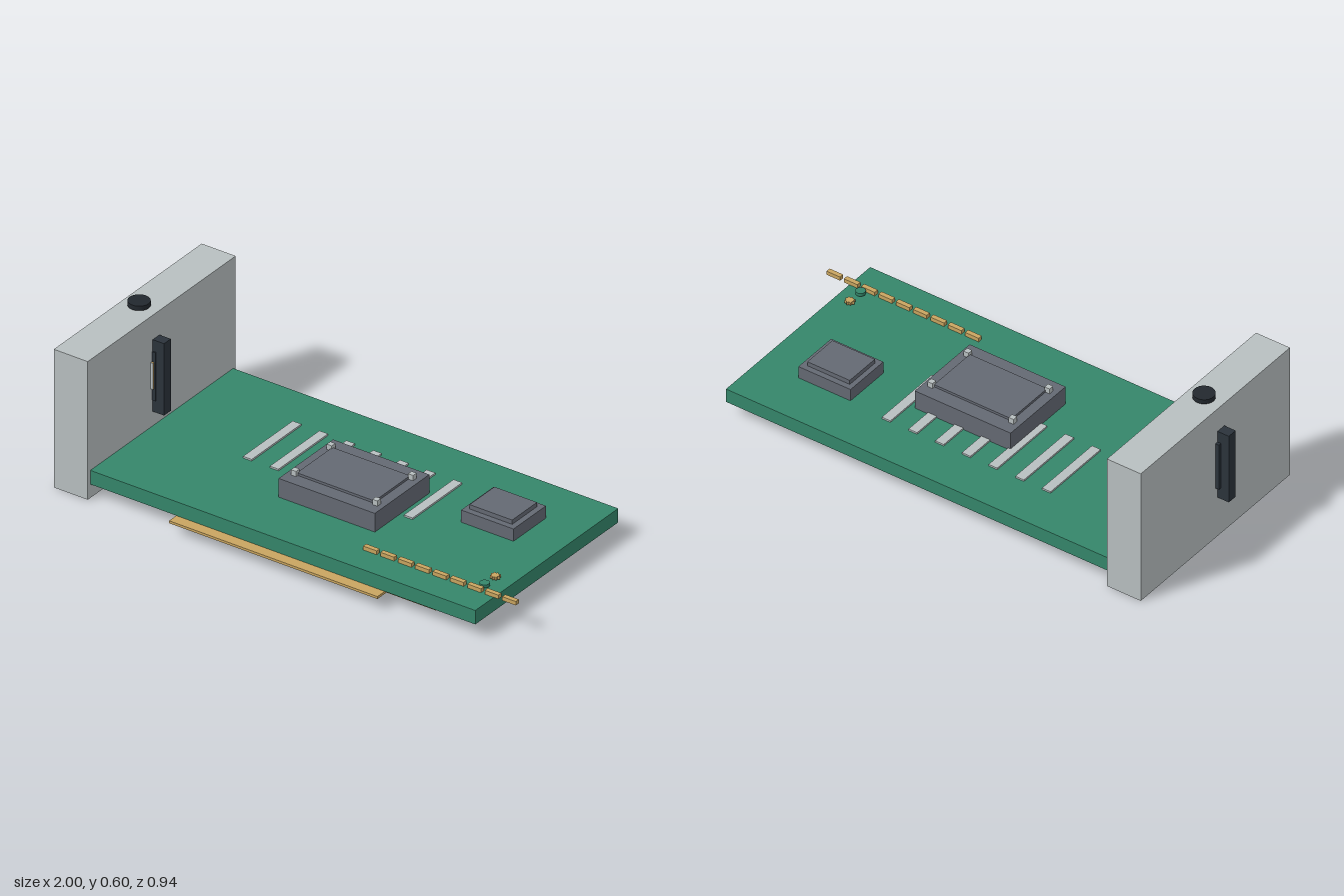
import * as THREE from 'three';

const mat = (name, color) => {
  const m = new THREE.MeshStandardMaterial({ color });
  m.name = name;
  return m;
};

export function createModel() {
  const root = new THREE.Group();
  root.name = 'expansionCard';
  const green = mat('boardGreen', 0x35866a);
  const silver = mat('bracketSilver', 0xb8bfc0);
  const grey = mat('chipGrey', 0x646973);
  const dark = mat('connectorDark', 0x2b333b);
  const black = mat('capBlack', 0x22282e);
  const gold = mat('contactGold', 0xc9a560);

  const add = (name, geo, m, x, y, z, parent = root) => {
    const mesh = new THREE.Mesh(geo, m);
    mesh.name = name;
    mesh.position.set(x, y, z);
    parent.add(mesh);
    return mesh;
  };
  // Box given by its lower and upper limits on each axis
  const box = (name, m, [x0, x1], [y0, y1], [z0, z1], parent = root) =>
    add(name, new THREE.BoxGeometry(x1 - x0, y1 - y0, z1 - z0), m,
      (x0 + x1) / 2, (y0 + y1) / 2, (z0 + z1) / 2, parent);
  const group = (name) => {
    const g = new THREE.Group();
    g.name = name;
    root.add(g);
    return g;
  };

  // Circuit board and end bracket
  box('board', green, [-0.8, 0.9], [0.057, 0.115], [-0.457, 0.427]);
  box('bracket', silver, [-0.95, -0.8], [0, 0.577], [-0.472, 0.443]);

  // Screw cap above the bracket
  add('screwCap', new THREE.CylinderGeometry(0.042, 0.042, 0.019, 24), black, -0.875, 0.594, 0.02);

  // Port passing through the bracket
  const port = group('port');
  box('portBar', dark, [-1, -0.75], [0.175, 0.475], [-0.001, 0.041], port);
  box('portShell', dark, [-0.965, -0.785], [0.225, 0.427], [-0.014, 0.046], port);
  box('portContact', gold, [-0.96, -0.79], [0.275, 0.385], [0.046, 0.052], port);
  box('portContactFace', silver, [-0.96, -0.79], [0.275, 0.385], [0.052, 0.054], port);

  // Main processor with raised lid and corner posts
  const cpu = group('mainChip');
  box('mainChipBody', grey, [-0.14, 0.285], [0.115, 0.193], [-0.15, 0.187], cpu);
  box('mainChipLid', grey, [-0.1, 0.243], [0.193, 0.203], [-0.09, 0.13], cpu);
  for (const x of [-0.107, 0.252])
    for (const z of [-0.091, 0.13])
      add('cornerPost', new THREE.BoxGeometry(0.022, 0.022, 0.022), silver, x, 0.204, z, cpu);

  // Secondary chip
  const chip = group('smallChip');
  box('smallChipBody', grey, [0.497, 0.728], [0.115, 0.166], [-0.251, -0.05], chip);
  box('smallChipLid', grey, [0.517, 0.705], [0.166, 0.184], [-0.228, -0.074], chip);

  // Row of silver strips, partly under the main chip
  const strips = group('strips');
  for (let i = 0; i < 7; i++) {
    const x = -0.385 + i * 0.1184;
    box('strip', silver, [x - 0.019, x + 0.019], [0.115, 0.122], [-0.27, 0.037], strips);
  }

  // Dashed gold row running off the board's end
  const pins = group('pinRow');
  for (let i = 0; i < 9; i++) {
    const x = 0.355 + i * 0.0768;
    box('pin', gold, [x - 0.03, x + 0.03], [0.117, 0.133], [0.297, 0.316], pins);
  }

  // Star-shaped contact and small green disc
  const star = new THREE.Shape();
  for (let i = 0; i < 16; i++) {
    const r = i % 2 ? 0.014 : 0.02, a = (i * Math.PI) / 8;
    star[i ? 'lineTo' : 'moveTo'](r * Math.cos(a), r * Math.sin(a));
  }
  const starGeo = new THREE.ExtrudeGeometry(star, { depth: 0.012, bevelEnabled: false });
  starGeo.rotateX(-Math.PI / 2);
  add('starContact', starGeo, gold, 0.832, 0.123, 0.208);
  add('greenDisc', new THREE.CylinderGeometry(0.019, 0.019, 0.013, 20), green, 0.832, 0.129, 0.274);

  // Edge contacts under the front of the board
  const edge = group('edgeContacts');
  box('edgeContact', gold, [-0.42, 0.5], [0.047, 0.057], [0.395, 0.472], edge);
  box('edgeRail', gold, [0, 0.713], [0.042, 0.0565], [0.393, 0.409], edge);

  return root;
}
